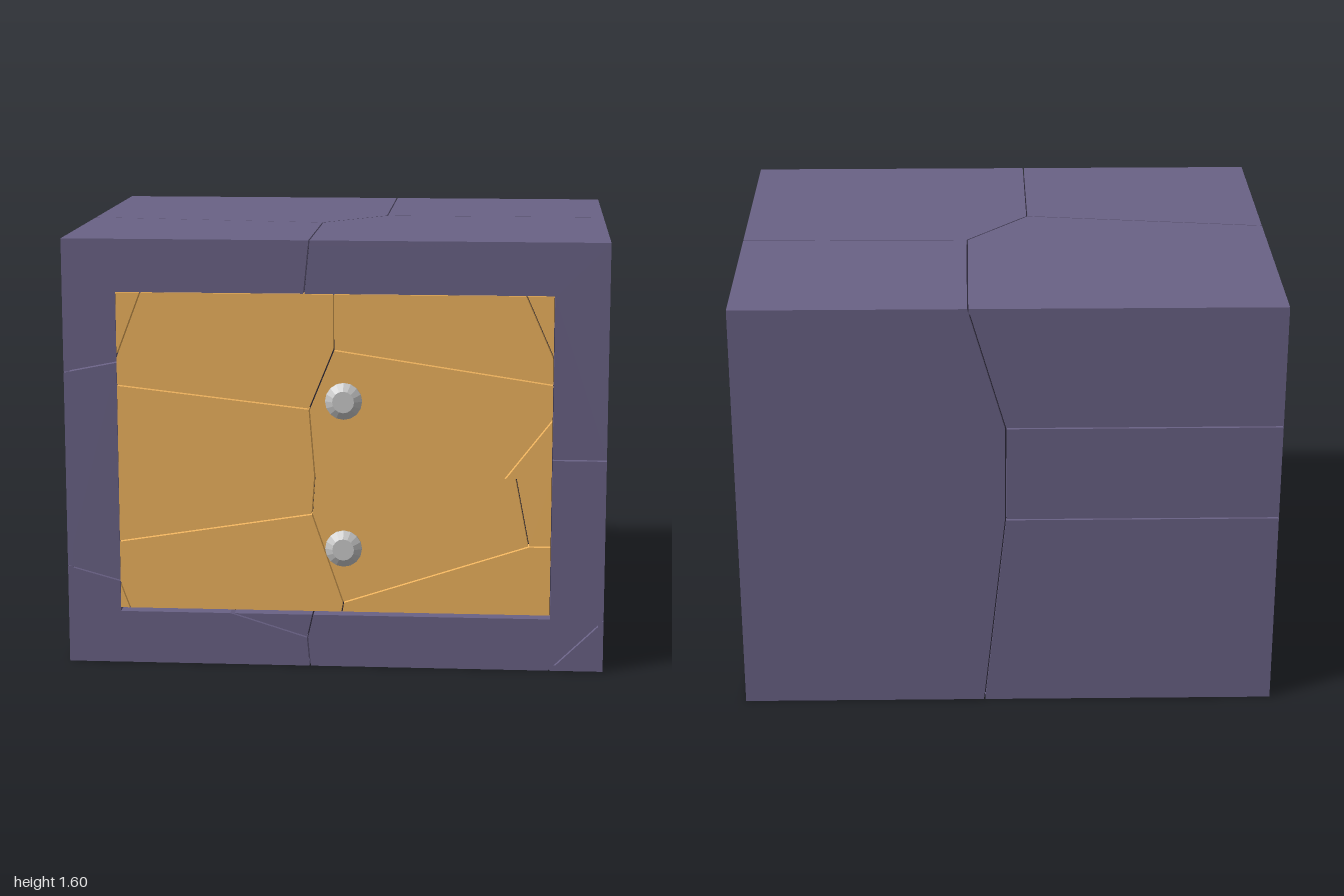
import * as THREE from 'three';

const BACK = -0.825, FRONT = 0.77, TOP = 1.6, GAP = 0.0025;
const paint = (color) => new THREE.MeshStandardMaterial({ color, flatShading: true });

// Shrinks a shard outline by GAP, except along the outer border of its panel.
function inset(points, [u0, v0, u1, v1]) {
  const p = points.map(([u, v]) => new THREE.Vector2(u, v));
  if (THREE.ShapeUtils.area(p) < 0) p.reverse();
  const same = (a, b, c) => Math.abs(a - c) < 1e-4 && Math.abs(b - c) < 1e-4;
  const lines = p.map((a, i) => {
    const b = p[(i + 1) % p.length];
    const border = same(a.x, b.x, u0) || same(a.x, b.x, u1) || same(a.y, b.y, v0) || same(a.y, b.y, v1);
    const d = b.clone().sub(a).normalize();
    const n = new THREE.Vector2(-d.y, d.x);
    return { n, c: n.dot(a) + (border ? 0 : GAP) };
  });
  return lines.map((l, i) => {
    const k = lines[(i + lines.length - 1) % lines.length];
    const det = k.n.x * l.n.y - k.n.y * l.n.x;
    return new THREE.Vector2((k.c * l.n.y - l.c * k.n.y) / det, (k.n.x * l.c - l.n.x * k.c) / det);
  });
}

// A flat panel made of shards; u and v are the plane's axes, n points outwards.
function panel(name, material, { u, v, n, at, depth, bounds, shards }) {
  const group = new THREE.Group();
  group.name = name;
  const U = new THREE.Vector3(...u), V = new THREE.Vector3(...v), N = new THREE.Vector3(...n);
  const flip = U.clone().cross(V).dot(N) < 0 ? -1 : 1;
  const basis = new THREE.Matrix4().makeBasis(U.multiplyScalar(flip), V, N);
  for (const points of shards) {
    const outline = inset(points, bounds).map((q) => new THREE.Vector2(q.x * flip, q.y));
    const geometry = new THREE.ExtrudeGeometry(new THREE.Shape(outline), { depth, bevelEnabled: false });
    geometry.translate(0, 0, at - depth).applyMatrix4(basis);
    const shard = new THREE.Mesh(geometry, material);
    shard.name = name + 'Shard';
    group.add(shard);
  }
  return group;
}

export function createModel() {
  const model = new THREE.Group();
  model.name = 'crackedCabinet';
  const wood = paint(0x6a6286), drawerWood = paint(0xf0b45e), shadow = paint(0x2a2636), metal = paint(0xcccccc);
  const X = [1, 0, 0], Y = [0, 1, 0], Z = [0, 0, 1];

  // Dark core seen through the cracks
  const core = new THREE.Mesh(new THREE.BoxGeometry(1.96, 1.56, 1.515), shadow);
  core.position.set(0, 0.8, -0.0475);
  core.name = 'core';
  model.add(core);

  // Front frame around the drawers
  model.add(panel('frontFrame', wood, {
    u: X, v: Y, n: Z, at: FRONT, depth: 0.06, bounds: [-1, 0, 1, TOP],
    shards: [
      [[-1, 1.105], [-0.8, 1.145], [-0.8, 1.4], [-0.11, 1.4], [-0.09, TOP], [-1, TOP]],
      [[-0.11, 1.4], [0.8, 1.4], [0.8, 0.8], [1, 0.8], [1, TOP], [-0.09, TOP]],
      [[-1, 0.37], [-0.8, 0.315], [-0.8, 1.145], [-1, 1.105]],
      [[-1, 0], [-0.09, 0], [-0.1, 0.11], [-0.39, 0.2], [-0.8, 0.2], [-0.8, 0.315], [-1, 0.37]],
      [[-0.39, 0.2], [-0.1, 0.11], [-0.08, 0.2]],
      [[-0.09, 0], [0.8, 0], [1, 0.195], [1, 0.8], [0.8, 0.8], [0.8, 0.2], [-0.08, 0.2], [-0.1, 0.11]],
      [[0.8, 0], [1, 0], [1, 0.195]],
    ],
  }));

  // Side at +x, drawn in (z, y)
  const P = [0.2, 0.8], Q = [-0.1, 0.195];
  model.add(panel('leftSide', wood, {
    u: Z, v: Y, n: X, at: 1, depth: 0.02, bounds: [BACK, 0, FRONT, TOP],
    shards: [
      [P, [FRONT, 0.8], [FRONT, TOP], [-0.1, TOP]],
      [[BACK, 0], [-0.22, 0], Q, P, [-0.1, TOP], [BACK, TOP]],
      [Q, [FRONT, 0.195], [FRONT, 0.8], P],
      [[-0.22, 0], [FRONT, 0], [FRONT, 0.195], Q],
    ],
  }));

  // Side at -x, drawn in (z, y)
  const a = [0.09, 1.2], b = [0.005, 0.765], c = [0.005, 0.22];
  model.add(panel('rightSide', wood, {
    u: Z, v: Y, n: [-1, 0, 0], at: 1, depth: 0.02, bounds: [BACK, 0, FRONT, TOP],
    shards: [
      [a, [FRONT, 1.105], [FRONT, TOP], [0.04, TOP]],
      [[BACK, 1.134], a, [0.04, TOP], [BACK, TOP]],
      [[BACK, 0.765], b, a, [BACK, 1.134]],
      [b, c, [FRONT, 0.37], [FRONT, 1.105], a],
      [[BACK, 0], [-0.09, 0], c, b, [BACK, 0.765]],
      [[-0.09, 0], [FRONT, 0], [FRONT, 0.37], c],
    ],
  }));

  // Back, drawn in (x, y)
  const d = [0.01, 1.134], e = [0.01, 0.765];
  model.add(panel('back', wood, {
    u: X, v: Y, n: [0, 0, -1], at: -BACK, depth: 0.02, bounds: [-1, 0, 1, TOP],
    shards: [
      [[0.09, 0], [1, 0], [1, TOP], [0.145, TOP], d, e],
      [[-1, 1.134], d, [0.145, TOP], [-1, TOP]],
      [[-1, 0.765], e, d, [-1, 1.134]],
      [[-1, 0], [0.09, 0], e, [-1, 0.765]],
    ],
  }));

  // Top, drawn in (x, z)
  const V = [0.145, -0.105], W = [-0.09, 0.165];
  model.add(panel('top', wood, {
    u: X, v: Z, n: Y, at: TOP, depth: 0.02, bounds: [-1, BACK, 1, FRONT],
    shards: [
      [[-1, BACK], [0.145, BACK], V, W, [-1, 0.04]],
      [[0.145, BACK], [1, BACK], [1, -0.1], V],
      [V, [1, -0.1], [1, FRONT], [-0.09, FRONT], W],
      [[-1, 0.04], W, [-0.09, FRONT], [-1, FRONT]],
    ],
  }));

  // Underside, drawn in (x, z)
  const f = [0.82, -0.2], g = [0.09, -0.19], h = [-0.06, -0.01], k = [-0.085, 0.25], m = [-0.245, 0];
  model.add(panel('underside', wood, {
    u: X, v: Z, n: [0, -1, 0], at: 0, depth: 0.02, bounds: [-1, BACK, 1, FRONT],
    shards: [
      [[1, BACK], [0.09, BACK], g, f, [1, -0.22]],
      [[1, -0.22], f, [0.8, FRONT], [1, FRONT]],
      [f, g, h, k, [-0.09, FRONT], [0.8, FRONT]],
      [[0.09, BACK], [-1, BACK], [-1, -0.09], m, h, g],
      [m, h, k],
      [[-1, -0.09], m, k, [-0.09, FRONT], [-1, FRONT]],
    ],
  }));

  // Two drawer fronts, which meet at the seam height
  const low = 0.215, seam = 0.73, high = 1.405;
  const A = [-0.09, 0.98], B = [0, 1.2], C = [-0.07, seam];
  model.add(panel('upperDrawer', drawerWood, {
    u: X, v: Y, n: Z, at: 0.78, depth: 0.06, bounds: [-0.8, seam, 0.8, high],
    shards: [
      [[-0.8, 1.17], [-0.71, high], [-0.8, high]],
      [[-0.8, 1.06], A, B, [0, high], [-0.71, high], [-0.8, 1.17]],
      [[-0.8, seam], C, A, [-0.8, 1.06]],
      [B, [0.8, 1.08], [0.8, 1.18], [0.7, high], [0, high]],
      [[0.8, 1.18], [0.8, high], [0.7, high]],
      [C, [0.63, seam], [0.8, 0.95], [0.8, 1.08], B, A],
      [[0.63, seam], [0.8, seam], [0.8, 0.95]],
    ],
  }));
  const D = [-0.08, 0.585], E = [0.035, 0.25], F = [0.72, 0.475];
  model.add(panel('lowerDrawer', drawerWood, {
    u: X, v: Y, n: Z, at: 0.78, depth: 0.06, bounds: [-0.8, low, 0.8, seam],
    shards: [
      [[-0.8, 0.47], D, C, [-0.8, seam]],
      [[-0.8, 0.31], [-0.765, low], [0.03, low], E, D, [-0.8, 0.47]],
      [[-0.8, low], [-0.765, low], [-0.8, 0.31]],
      [D, E, F, [0.67, seam], C],
      [F, [0.8, 0.475], [0.8, seam], [0.67, seam]],
      [[0.03, low], [0.8, low], [0.8, 0.475], F, E],
    ],
  }));

  // Faceted round knobs
  const profile = [[0.045, 0], [0.05, 0.015], [0.068, 0.028], [0.068, 0.036], [0.04, 0.055], [0, 0.055]]
    .map(([r, y]) => new THREE.Vector2(r, y));
  const knobGeometry = new THREE.LatheGeometry(profile, 16).rotateX(Math.PI / 2);
  for (const [name, y] of [['upperKnob', 1.015], ['lowerKnob', 0.462]]) {
    const knob = new THREE.Mesh(knobGeometry, metal);
    knob.position.set(0.038, y, 0.77);
    knob.name = name;
    model.add(knob);
  }
  return model;
}
